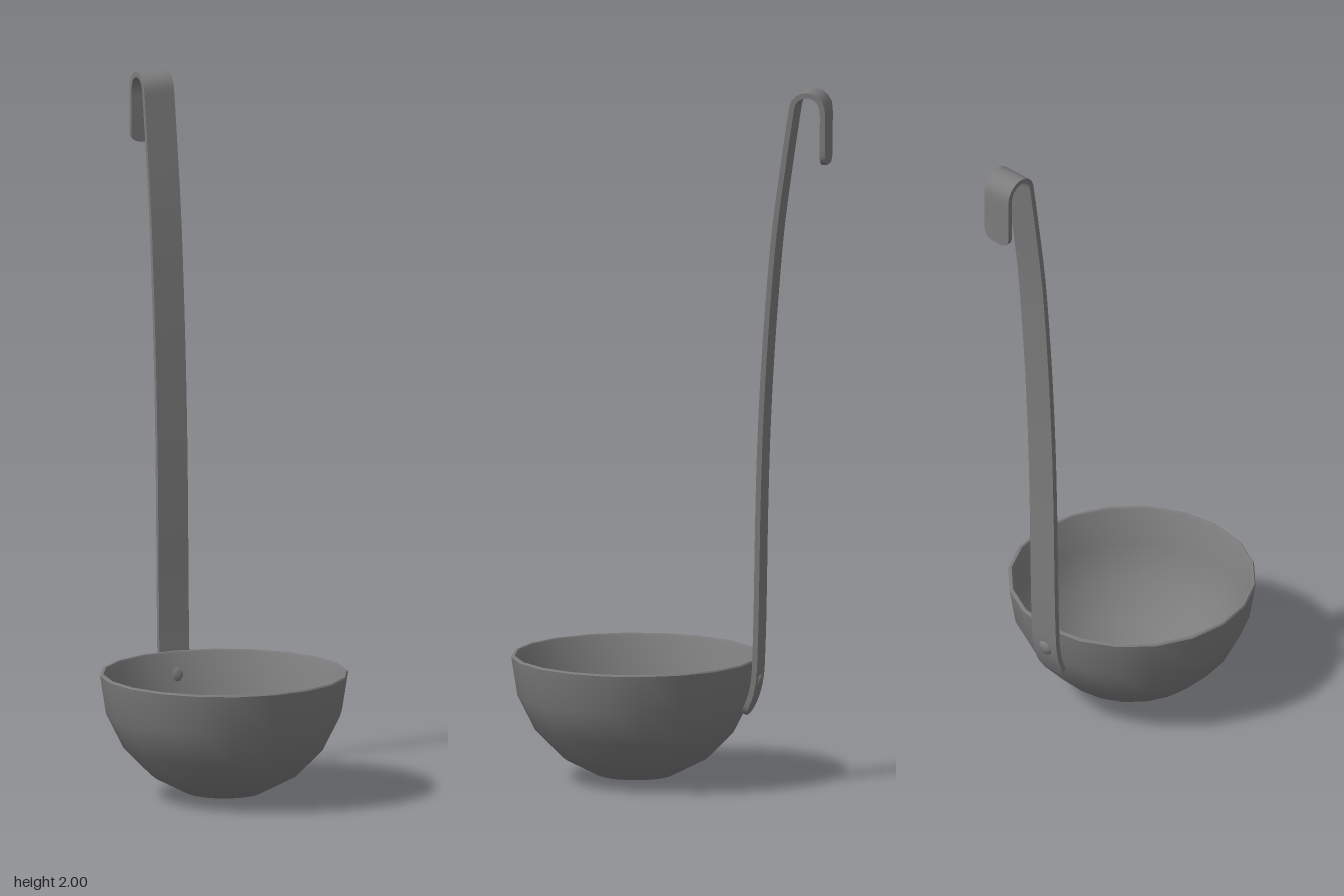
import * as THREE from 'three';
import { toCreasedNormals } from 'three/addons/utils/BufferGeometryUtils.js';

const BOWL_Z = 0.105, RIM_Y = 0.36;

// Hemispherical shell with a slightly bevelled rim
function bowlGeometry() {
  const R = 0.352, r = 0.339, steps = 5, pts = [];
  for (let i = 0; i <= steps; i++) {
    const a = (i / steps) * Math.PI / 2;
    pts.push(new THREE.Vector2(R * Math.sin(a), RIM_Y - 0.004 - 0.356 * Math.cos(a)));
  }
  pts.push(new THREE.Vector2(R - 0.003, RIM_Y), new THREE.Vector2(r + 0.003, RIM_Y));
  for (let i = steps; i >= 0; i--) {
    const a = (i / steps) * Math.PI / 2;
    pts.push(new THREE.Vector2(r * Math.sin(a), RIM_Y - 0.004 - 0.343 * Math.cos(a)));
  }
  return toCreasedNormals(new THREE.LatheGeometry(pts, 20), 0.7);
}

// Flat strip swept along a curve in the YZ plane, with rounded corners at both ends
function stripGeometry(curve, halfWidth, halfThick, corner) {
  const L = curve.getLength(), rows = 120, dist = [0, 0.003, 0.009, 0.018, corner];
  const stops = [...dist];
  for (let i = 1; i < rows; i++) {
    const d = (i / rows) * L;
    if (d > corner + 0.005 && d < L - corner - 0.005) stops.push(d);
  }
  dist.reverse().forEach(d => stops.push(L - d));

  const pos = [], index = [], X = new THREE.Vector3(1, 0, 0);
  stops.forEach((s, i) => {
    const u = Math.min(1, s / L);
    const p = curve.getPointAt(u);
    const n = curve.getTangentAt(u).cross(X).normalize();
    const e = Math.min(s, L - s, corner);
    const w = halfWidth - corner + Math.sqrt(Math.max(0, corner ** 2 - (corner - e) ** 2));
    for (const [sx, sn] of [[-1, -1], [1, -1], [1, 1], [-1, 1]]) {
      pos.push(sx * w, p.y + sn * halfThick * n.y, p.z + sn * halfThick * n.z);
    }
    if (i === 0) return;
    for (let j = 0; j < 4; j++) {
      const a = (i - 1) * 4 + j, b = (i - 1) * 4 + (j + 1) % 4;
      index.push(a, b, b + 4, a, b + 4, a + 4);
    }
  });
  const e = (stops.length - 1) * 4;
  index.push(0, 3, 2, 0, 2, 1, e, e + 1, e + 2, e, e + 2, e + 3);
  const g = new THREE.BufferGeometry();
  g.setAttribute('position', new THREE.Float32BufferAttribute(pos, 3));
  g.setIndex(index);
  return toCreasedNormals(g, 0.7);
}

export function createModel() {
  const steel = new THREE.MeshStandardMaterial({ color: 0x7c7c7c });
  steel.name = 'steel';
  const group = new THREE.Group();
  group.name = 'ladle';
  const add = (name, geometry) => {
    const m = new THREE.Mesh(geometry, steel);
    m.name = name;
    group.add(m);
    return m;
  };

  add('bowl', bowlGeometry()).position.z = BOWL_Z;

  // Handle centre line as [y, z]: bowl flange, long gentle bow, hook
  const path = [
    [0.205, -0.217], [0.25, -0.237], [0.30, -0.249], [0.40, -0.255], [0.80, -0.263],
    [1.00, -0.269], [1.20, -0.279], [1.40, -0.293], [1.60, -0.311], [1.80, -0.338],
    [1.94, -0.359],
  ];
  for (let i = 1; i <= 8; i++) {
    const a = Math.PI * (1 - i / 8);
    path.push([1.947 + 0.045 * Math.sin(a), -0.405 - 0.045 * Math.cos(Math.PI - a) * -1]);
  }
  path.push([1.88, -0.45], [1.79, -0.45]);
  // Order the hook arc from the handle side to the free side
  for (let i = 1; i <= 8; i++) {
    const a = Math.PI * i / 8;
    path[10 + i] = [1.947 + 0.045 * Math.sin(a), -0.405 + 0.045 * Math.cos(a)];
  }
  const curve = new THREE.CatmullRomCurve3(path.map(([y, z]) => new THREE.Vector3(0, y, z)));
  curve.arcLengthDivisions = 600;
  add('handle', stripGeometry(curve, 0.046, 0.0075, 0.03));

  // Rivet heads inside the bowl and outside the handle
  for (const [name, z] of [['innerRivet', -0.229], ['outerRivet', -0.254]]) {
    const rivet = add(name, new THREE.SphereGeometry(0.023, 16, 10));
    rivet.scale.z = 0.45;
    rivet.position.set(0, 0.295, z);
    rivet.rotation.x = -0.18;
  }
  return group;
}
